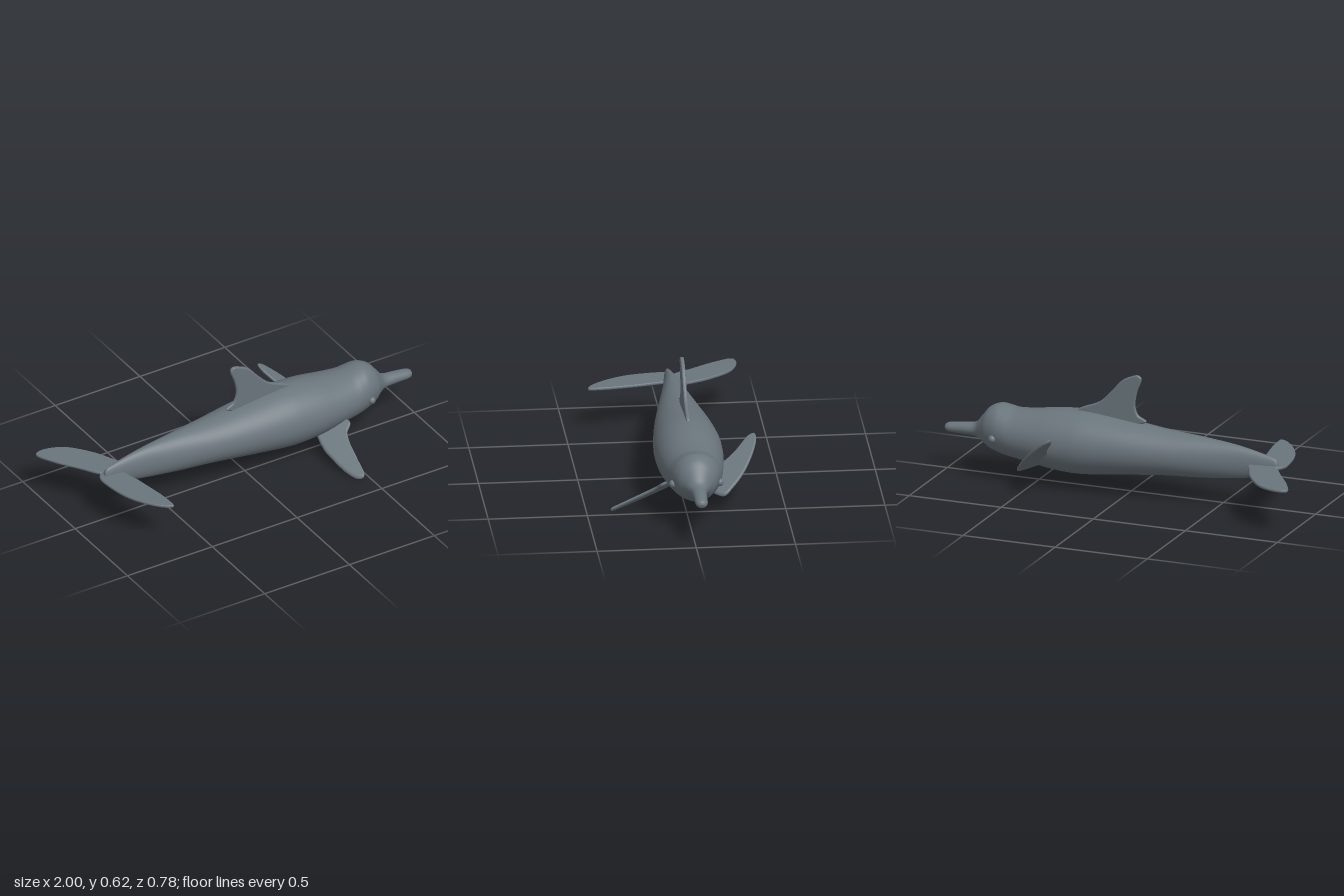
import * as THREE from 'three';

const CZ = -0.03; // z of the body's plane of symmetry

// Body stations from tail to snout: [x, top, bottom, half width]
const STATIONS = [
  [-0.81, 0.235, 0.225, 0.002], [-0.805, 0.262, 0.195, 0.014], [-0.77, 0.282, 0.183, 0.02],
  [-0.6, 0.32, 0.15, 0.043], [-0.4, 0.341, 0.13, 0.08], [-0.2, 0.355, 0.12, 0.117],
  [0, 0.378, 0.1, 0.148], [0.2, 0.4, 0.078, 0.169], [0.3, 0.402, 0.075, 0.171],
  [0.4, 0.394, 0.083, 0.167], [0.5, 0.379, 0.1, 0.156], [0.6, 0.37, 0.115, 0.142],
  [0.65, 0.378, 0.122, 0.133], [0.7, 0.385, 0.134, 0.12], [0.75, 0.364, 0.152, 0.098],
  [0.79, 0.318, 0.18, 0.066], [0.83, 0.272, 0.197, 0.041], [0.9, 0.262, 0.2, 0.034],
  [0.97, 0.252, 0.202, 0.031], [0.993, 0.243, 0.21, 0.02], [1, 0.229, 0.225, 0.002],
];

// Smooth skin of elliptical rings through the stations
function bodyGeometry(rings = 120, sides = 48) {
  const curve = (f) => new THREE.CatmullRomCurve3(STATIONS.map(f), false, 'catmullrom', 0.5);
  const middle = curve(([x, t, b]) => new THREE.Vector3(x, (t + b) / 2, 0));
  const radii = curve(([x, t, b, w]) => new THREE.Vector3(x, (t - b) / 2, w));
  const pos = [], index = [];
  for (let i = 0; i <= rings; i++) {
    const m = middle.getPoint(i / rings), r = radii.getPoint(i / rings);
    for (let j = 0; j < sides; j++) {
      const a = (j / sides) * Math.PI * 2;
      pos.push(m.x, m.y + Math.cos(a) * r.y, CZ + Math.sin(a) * r.z);
      if (i === rings) continue;
      const p = i * sides + j, q = i * sides + ((j + 1) % sides);
      index.push(p, q, p + sides, q, q + sides, p + sides);
    }
  }
  const g = new THREE.BufferGeometry();
  g.setAttribute('position', new THREE.Float32BufferAttribute(pos, 3));
  g.setIndex(index);
  g.computeVertexNormals();
  return g;
}

// Thin slab with rounded rim, from a smoothed closed outline
function finGeometry(outline, thickness) {
  const pts = outline.map(([x, y]) => new THREE.Vector3(x, y, 0));
  const smooth = new THREE.CatmullRomCurve3(pts, true, 'centripetal').getPoints(70).slice(0, -1);
  const shape = new THREE.Shape(smooth.map((p) => new THREE.Vector2(p.x, p.y)));
  const bevel = thickness * 0.4;
  const g = new THREE.ExtrudeGeometry(shape, {
    depth: thickness - 2 * bevel, bevelThickness: bevel, bevelSize: bevel,
    bevelOffset: -bevel, bevelSegments: 3,
  });
  return g.translate(0, 0, bevel - thickness / 2);
}

// Fin drawn in x and z, lifted onto the surface y = height(x, z)
function flatFin(outline, thickness, height) {
  const g = finGeometry(outline, thickness).rotateX(Math.PI / 2);
  const p = g.attributes.position;
  for (let i = 0; i < p.count; i++) p.setY(i, p.getY(i) + height(p.getX(i), p.getZ(i)));
  g.computeVertexNormals();
  return g;
}

export function createModel() {
  const model = new THREE.Group();
  model.name = 'dolphin';
  const skin = new THREE.MeshStandardMaterial({ color: 0x6a757c });
  skin.name = 'slate grey skin';
  const add = (name, geometry) => {
    const mesh = new THREE.Mesh(geometry, skin);
    mesh.name = name;
    model.add(mesh);
    return mesh;
  };

  add('body', bodyGeometry());

  // Swept dorsal fin
  add('dorsalFin', finGeometry([
    [-0.067, 0.605], [-0.05, 0.622], [0, 0.608], [0.04, 0.585], [0.1, 0.518], [0.16, 0.461],
    [0.28, 0.402], [0.26, 0.37], [0.1, 0.35], [-0.04, 0.36], [-0.095, 0.385], [-0.05, 0.412],
    [-0.033, 0.46], [-0.043, 0.53],
  ], 0.02)).position.z = CZ;

  // Tail flukes, swept unequally
  const level = () => 0.231;
  add('rightFluke', flatFin([
    [-1, -0.375], [-0.96, -0.393], [-0.85, -0.36], [-0.745, -0.24], [-0.69, -0.13],
    [-0.662, -0.06], [-0.7, -0.03], [-0.8, -0.05], [-0.88, -0.16], [-0.96, -0.28],
  ], 0.016, level));
  add('leftFluke', flatFin([
    [-0.81, -0.06], [-0.84, -0.02], [-0.84, 0.05], [-0.815, 0.18], [-0.76, 0.29], [-0.69, 0.37],
    [-0.655, 0.383], [-0.65, 0.32], [-0.665, 0.2], [-0.695, 0.05], [-0.73, -0.05],
  ], 0.016, level));

  // Flippers, each twisted onto its own slanted plane
  add('leftFlipper', flatFin([
    [0.4, 0.04], [0.38, 0.13], [0.39, 0.21], [0.415, 0.315], [0.445, 0.37], [0.472, 0.378],
    [0.485, 0.29], [0.495, 0.2], [0.51, 0.155], [0.543, 0.13], [0.535, 0.1], [0.48, 0.04],
  ], 0.02, (x, z) => 0.052 + 0.55 * (x - 0.39) - 0.45 * (z - 0.2)));
  add('rightFlipper', flatFin([
    [0.44, -0.09], [0.38, -0.14], [0.375, -0.2], [0.35, -0.255], [0.298, -0.33], [0.298, -0.36],
    [0.325, -0.368], [0.39, -0.345], [0.47, -0.29], [0.52, -0.23], [0.541, -0.19], [0.5, -0.13],
  ], 0.02, (x, z) => 0.1 - 0.673 * (x - 0.54) - 0.395 * (z + 0.19)));

  // Small bulging eyes
  for (const [name, side] of [['leftEye', 1], ['rightEye', -1]]) {
    add(name, new THREE.SphereGeometry(0.02, 20, 14)).position.set(0.695, 0.23, CZ + side * 0.118);
  }
  return model;
}
